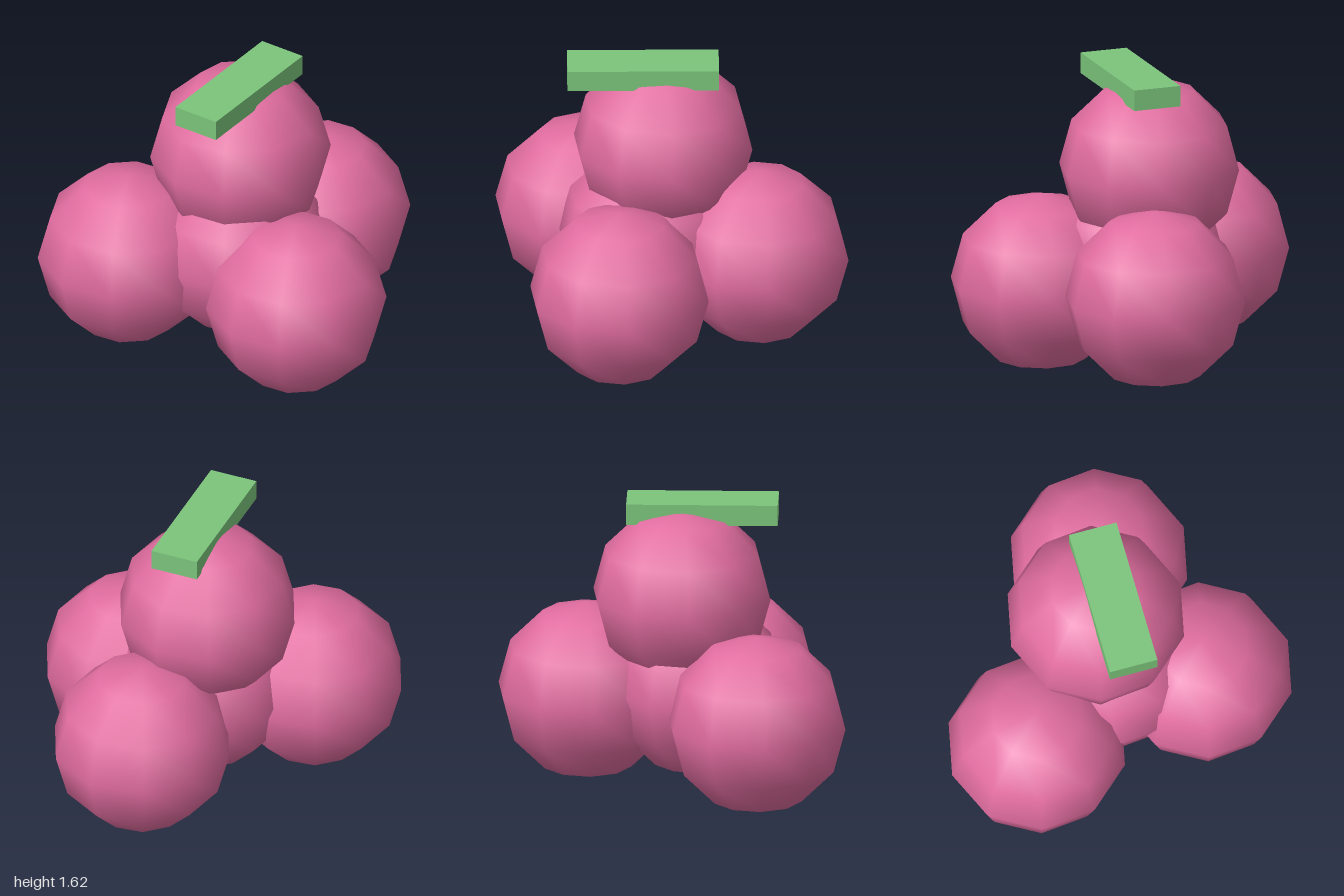
import * as THREE from 'three';

export function createModel() {
  const model = new THREE.Group();
  model.name = 'berryCluster';

  const pink = new THREE.MeshStandardMaterial({ color: 0xe06c9f });
  pink.name = 'berry pink';
  const green = new THREE.MeshStandardMaterial({ color: 0x7bc47b });
  green.name = 'leaf green';

  // Coarse, smooth-shaded berry with a corner facing the front
  const berryGeometry = new THREE.SphereGeometry(0.48, 10, 6);
  berryGeometry.rotateY(Math.PI / 2);

  const berries = {
    coreBerry: [-0.02, 0.6, -0.12],
    rightBerry: [-0.545, 0.54, -0.375],
    leftBerry: [0.545, 0.54, -0.315],
    frontBerry: [0.085, 0.48, 0.37],
    topBerry: [0.028, 1.115, -0.2],
  };
  for (const [name, position] of Object.entries(berries)) {
    const berry = new THREE.Mesh(berryGeometry, pink);
    berry.name = name;
    berry.position.set(...position);
    model.add(berry);
  }

  // Flat leaf slab lying across the top berry
  const leaf = new THREE.Mesh(new THREE.BoxGeometry(0.8, 0.112, 0.26), green);
  leaf.name = 'leaf';
  leaf.position.set(-0.032, 1.569, -0.09);
  leaf.rotation.y = Math.PI / 6;
  model.add(leaf);

  return model;
}
